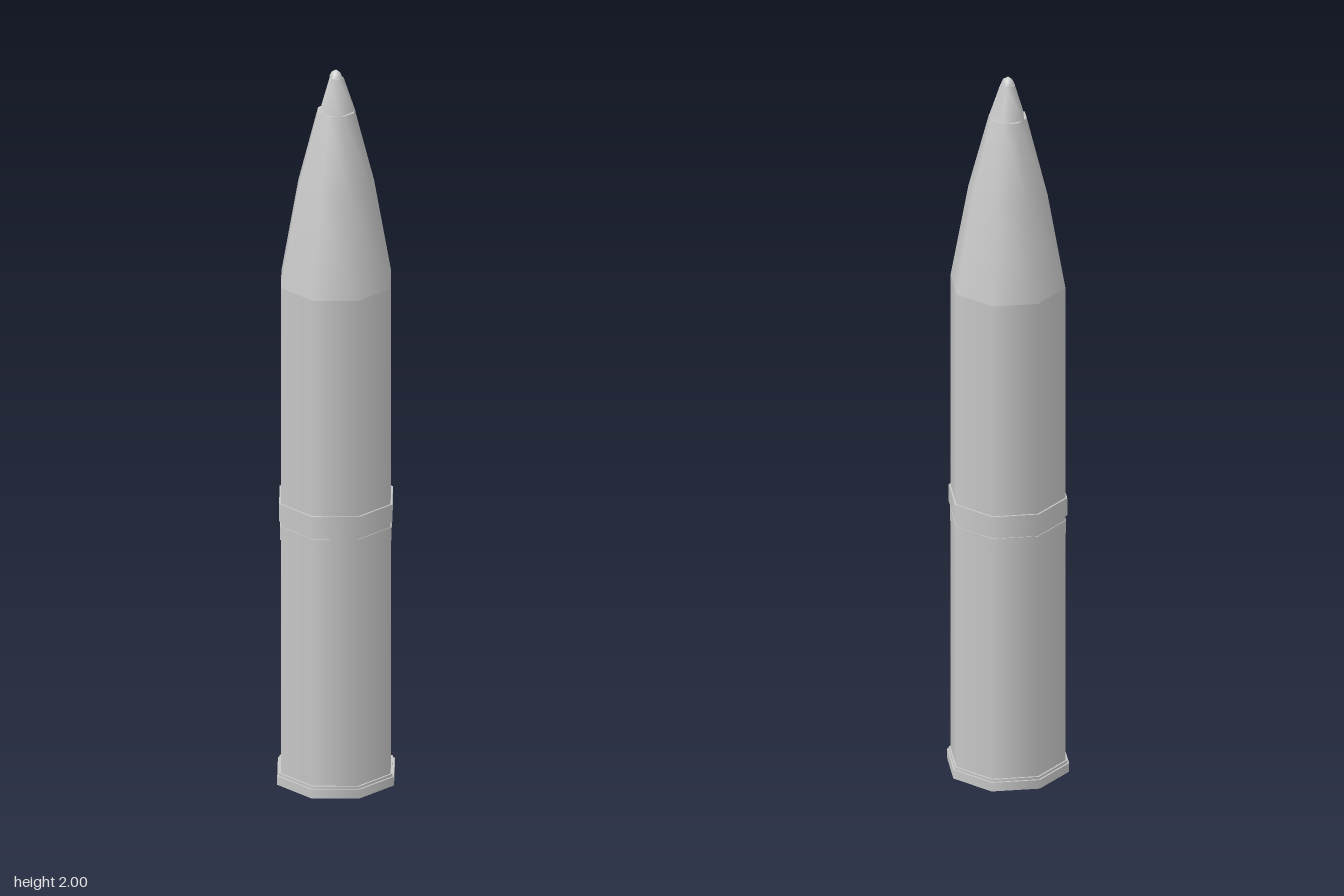
import * as THREE from 'three';

const steel = new THREE.MeshStandardMaterial({ color: 0xc8c8c8 });
steel.name = 'pale steel';

// Turned part from [radius, height] pairs listed bottom to top; smooth within one part
function turned(name, points, sides = 8, start = 0) {
  const profile = points.map(([r, y]) => new THREE.Vector2(r, y));
  const mesh = new THREE.Mesh(new THREE.LatheGeometry(profile, sides, start), steel);
  mesh.name = name;
  return mesh;
}

// Raised ring with sharp edges: closed cylinder around the body
function ring(name, radius, y0, y1, sides = 8) {
  const geometry = new THREE.CylinderGeometry(radius, radius, y1 - y0, sides);
  geometry.translate(0, (y0 + y1) / 2, 0);
  const mesh = new THREE.Mesh(geometry, steel);
  mesh.name = name;
  return mesh;
}

export function createModel() {
  const model = new THREE.Group();
  model.name = 'shell';

  // Base rim, stepped in slightly at its top
  model.add(ring('baseRim', 0.165, 0, 0.025));
  model.add(ring('baseRimStep', 0.16, 0.025, 0.032));

  // Eight-sided straight casing
  model.add(turned('casing', [[0.155, 0.02], [0.155, 1.405]]));

  // Driving band and the two narrow bands below it
  model.add(ring('drivingBand', 0.16, 0.745, 0.795));
  model.add(ring('upperNarrowBand', 0.157, 0.718, 0.73));
  model.add(ring('lowerNarrowBand', 0.157, 0.692, 0.718));

  // Tapered nose with its flat shoulder under the fuze
  model.add(turned('nose', [[0.155, 1.405], [0.107, 1.67], [0.051, 1.885]]));
  model.add(turned('noseShoulder', [[0.051, 1.885], [0, 1.885]]));

  // Five-sided fuze, one corner to the back, and four-sided tip
  model.add(turned('fuze', [[0.051, 1.885], [0.02, 1.978]], 5, Math.PI));
  model.add(turned('fuzeTop', [[0.02, 1.978], [0, 1.978]], 5, Math.PI));
  model.add(turned('tip', [[0.019, 1.978], [0.013, 1.992], [0, 2]], 4));

  return model;
}
